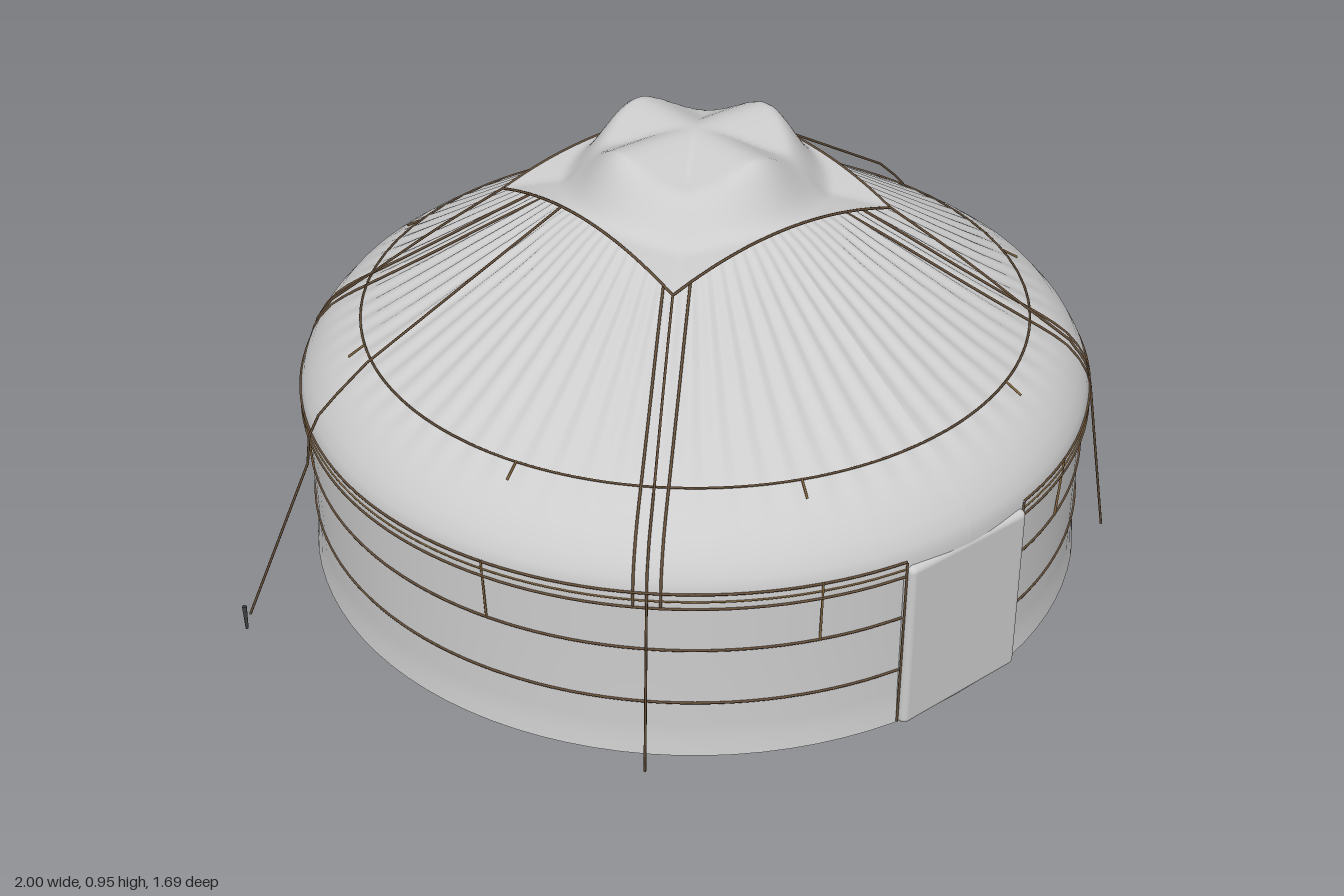
import * as THREE from 'three';
import { mergeGeometries } from 'three/addons/utils/BufferGeometryUtils.js';
import { RoundedBoxGeometry } from 'three/addons/geometries/RoundedBoxGeometry.js';

const V = (x, y, z) => new THREE.Vector3(x, y, z);
const polar = (r, y, a) => V(r * Math.sin(a), y, r * Math.cos(a));
const deg = THREE.MathUtils.degToRad;
const smooth = THREE.MathUtils.smoothstep;

// Roof outline as radius and height, from hem to crown
const ROOF = [
  [0.84, 0.378], [0.84, 0.41], [0.832, 0.435], [0.815, 0.465], [0.785, 0.5], [0.75, 0.526],
  [0.7, 0.556], [0.62, 0.603], [0.54, 0.651], [0.46, 0.7], [0.38, 0.748], [0.3, 0.797], [0.2, 0.848], [0.1, 0.87],
];

function roofY(r) {
  for (let i = 1; i < ROOF.length; i++) {
    const [r0, y0] = ROOF[i - 1], [r1, y1] = ROOF[i];
    if (r >= r1 && r0 > r1) return y0 + (y1 - y0) * (r - r0) / (r1 - r0);
  }
  return 0.87;
}

// Rope with smooth bends
function rope(points, radius = 0.0028) {
  const curve = new THREE.CatmullRomCurve3(points, false, 'centripetal');
  return new THREE.TubeGeometry(curve, (points.length - 1) * 2, radius, 5);
}

// Taut rope with straight spans between the points
function taut(points, radius = 0.0028) {
  return mergeGeometries(points.slice(1).map((p, i) =>
    new THREE.TubeGeometry(new THREE.LineCurve3(points[i], p), 1, radius, 5)));
}

// Horizontal rope around the tent; gap is the half angle left open at the front
function hoop(r, y, gap, radius) {
  const pts = [];
  for (let i = 0; i <= 72; i++) pts.push(polar(r, y, gap + (i / 72) * (Math.PI * 2 - 2 * gap)));
  return rope(pts, radius);
}

// Crown cloth: taut square edge, draped over two crossed arches
const HALF = 0.285;
function clothY(x, z) {
  const r = Math.hypot(x, z), valley = Math.min(Math.abs(x), Math.abs(z));
  const edge = 0.837 - 0.047 * (valley / HALF) ** 2;
  const top = 0.95 - 0.05 * smooth(valley, 0, 0.14);
  return THREE.MathUtils.lerp(edge, top, 1 - smooth(r, 0.185, 0.285));
}

export function createModel() {
  const group = new THREE.Group();
  const mat = (name, color, side = THREE.FrontSide) => {
    const m = new THREE.MeshStandardMaterial({ color, side });
    m.name = name;
    return m;
  };
  const felt = mat('felt', 0xcccccc, THREE.DoubleSide);
  const ropeBrown = mat('rope brown', 0x66503a);
  const tieBrown = mat('tie brown', 0x86683f);
  const wood = mat('lattice wood', 0x6e5a45);
  const iron = mat('stake iron', 0x444444);
  const add = (name, geo, material) => {
    const mesh = new THREE.Mesh(Array.isArray(geo) ? mergeGeometries(geo) : geo, material);
    mesh.name = name;
    group.add(mesh);
  };

  // Felt wall with a slightly flared foot
  const wall = [[0.838, 0.018], [0.834, 0.05], [0.831, 0.09], [0.831, 0.25], [0.831, 0.4]];
  add('wall', new THREE.LatheGeometry(wall.map(p => new THREE.Vector2(...p)), 96), felt);

  // Roof, sagging between its poles
  const roof = new THREE.LatheGeometry(ROOF.map(p => new THREE.Vector2(...p)), 432);
  const rp = roof.attributes.position;
  for (let i = 0; i < rp.count; i++) {
    const x = rp.getX(i), z = rp.getZ(i), r = Math.hypot(x, z);
    const sag = 0.008 * smooth(r, 0.2, 0.4) * (1 - smooth(r, 0.6, 0.8));
    rp.setY(i, rp.getY(i) - sag * (0.5 - 0.5 * Math.cos(72 * Math.atan2(x, z))));
  }
  roof.computeVertexNormals();
  add('roof', roof, felt);

  // Crown cloth and its rope border
  const cloth = new THREE.PlaneGeometry(2 * HALF, 2 * HALF, 48, 48).rotateX(-Math.PI / 2);
  const cp = cloth.attributes.position;
  for (let i = 0; i < cp.count; i++) cp.setY(i, clothY(cp.getX(i), cp.getZ(i)));
  cloth.computeVertexNormals();
  add('crownCloth', cloth, felt);
  const border = [];
  for (let k = 0; k < 4; k++) {
    const pts = [];
    for (let i = 0; i <= 12; i++) {
      const s = HALF * (i / 6 - 1);
      pts.push(V(s, clothY(s, HALF), HALF));
    }
    border.push(rope(pts, 0.003).rotateY(k * Math.PI / 2));
  }
  add('crownBorder', border, ropeBrown);

  // Floor
  add('floor', new THREE.CylinderGeometry(0.775, 0.775, 0.01, 72).translate(0, 0.03, 0), felt);

  // Crossed lattice behind the wall
  const slats = [];
  for (let i = 0; i < 80; i++) {
    const a = (i / 80) * Math.PI * 2;
    for (const s of [-1, 1]) {
      const r = s > 0 ? 0.808 : 0.8;
      slats.push(rope([0, 0.5, 1].map(t => polar(r, 0.022 + 0.37 * t, a + s * 0.3 * t)), 0.004));
    }
  }
  add('lattice', slats, wood);

  // Door
  add('door', new RoundedBoxGeometry(0.31, 0.382, 0.032, 4, 0.014).translate(0, 0.207, 0.826), felt);
  add('doorEdges', [-1, 1].map(s => taut([V(s * 0.156, 0.02, 0.824), V(s * 0.156, 0.41, 0.828)], 0.0025)), ropeBrown);

  // Bands round the wall, hem and roof
  const gap = Math.asin(0.155 / 0.835);
  add('wallBands', [hoop(0.832, 0.145, gap), hoop(0.832, 0.272, gap)], ropeBrown);
  add('hemBands', [hoop(0.841, 0.376, gap), hoop(0.841, 0.41, gap)], ropeBrown);
  add('hemCord', hoop(0.841, 0.393, gap, 0.002), tieBrown);
  add('roofBand', hoop(0.705, 0.554, 0, 0.0025), ropeBrown);

  // Short ties between the bands
  const ties = [];
  for (let k = 0; k < 8; k++) {
    const a = deg(22.5 + 45 * k);
    ties.push(taut([polar(0.833, 0.272, a), polar(0.842, 0.415, a)], 0.0025));
    ties.push(taut([polar(0.705, 0.556, a), polar(0.74, 0.533, a)], 0.0025));
  }
  add('ties', ties, tieBrown);

  // Laced seams on one side and the back of the wall
  const laces = [];
  for (const d of [95, 180]) {
    const a = deg(d), w = 0.03;
    for (const s of [-1, 1]) laces.push(taut([polar(0.833, 0.06, a + s * w), polar(0.833, 0.376, a + s * w), polar(0.842, 0.41, a + s * w)], 0.0018));
    const zig = [];
    for (let i = 0; i <= 12; i++) zig.push(polar(0.833, 0.06 + i * 0.028, a + (i % 2 ? w : -w)));
    laces.push(taut(zig, 0.0022));
  }
  add('seamLaces', laces, tieBrown);

  // Ropes down the four diagonals; the front middle ones reach the ground
  const diagonals = [], cords = [];
  for (const d of [45, 135, 225, 315]) {
    const a = deg(d), front = Math.cos(a) > 0;
    for (const off of [-0.026, 0.026]) {
      const pts = [0.27, 0.38, 0.46, 0.54, 0.62, 0.7, 0.75, 0.785, 0.815, 0.832, 0.839].map(r => {
        const p = polar(Math.sqrt(r * r - off * off), roofY(r) + 0.001, a);
        return p.add(V(off * Math.cos(a), 0, -off * Math.sin(a)));
      });
      pts.push(polar(0.842, 0.38, a + off / 0.842));
      cords.push(rope(pts));
    }
    diagonals.push(rope([polar(0.403, 0.79, a), polar(0.55, 0.685, a), polar(0.72, 0.552, a), polar(0.79, 0.5, a),
      polar(0.833, 0.438, a), polar(0.845, 0.39, a)]));
    diagonals.push(taut([polar(0.845, 0.39, a), front ? polar(0.9, 0.03, a) : polar(0.833, 0.272, a)]));
  }
  add('diagonalRopes', diagonals, ropeBrown);
  add('diagonalCords', cords, ropeBrown);

  // Guy ropes and stakes on both sides
  const guy = [[0.285, 0.834, -0.075], [0.7, 0.575, -0.18], [0.765, 0.518, -0.197], [0.805, 0.478, -0.208],
    [0.828, 0.435, -0.213], [0.836, 0.37, -0.216], [0.985, 0.035, -0.253]];
  for (const s of [-1, 1]) {
    const side = s > 0 ? 'left' : 'right';
    add(side + 'GuyRope', taut(guy.map(p => V(s * p[0], p[1], p[2]))), ropeBrown);
    add(side + 'Stake', new THREE.CylinderGeometry(0.005, 0.003, 0.058, 6).translate(s * 0.995, 0.029, -0.256), iron);
  }
  return group;
}
